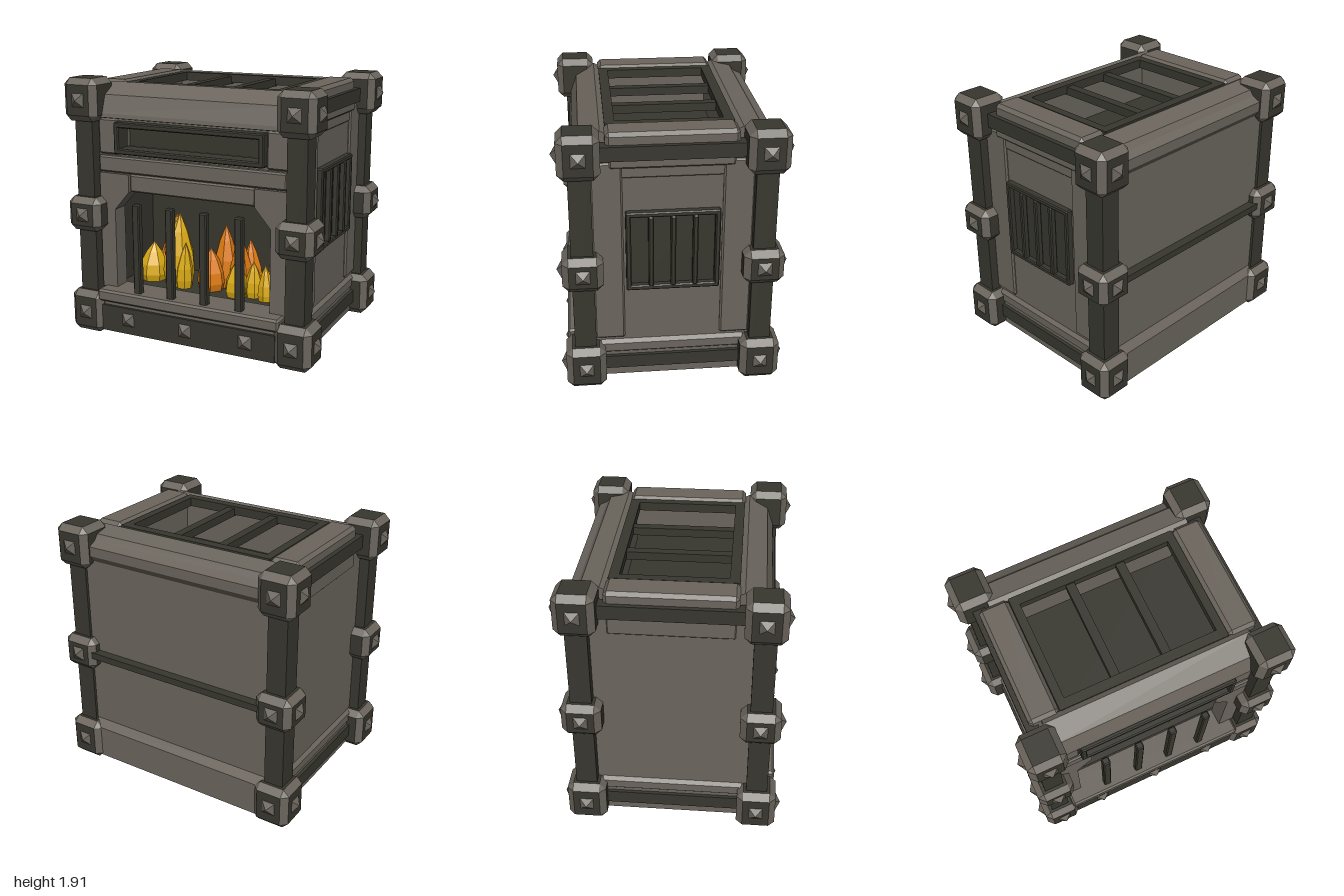
import * as THREE from 'three';
import { ConvexGeometry } from 'three/addons/geometries/ConvexGeometry.js';

const mat = (name, color) => Object.assign(new THREE.MeshStandardMaterial({ color, flatShading: true }), { name });

export function createModel() {
  const root = new THREE.Group();
  root.name = 'furnace';
  const stone = mat('stone', 0x6b655d);
  const iron = mat('darkIron', 0x38372f);
  const orange = mat('orangeFlame', 0xe07d12);
  const yellow = mat('yellowFlame', 0xdcac14);

  const add = (name, geo, material) => {
    const m = new THREE.Mesh(geo, material);
    m.name = name;
    root.add(m);
    return m;
  };
  // Plain box given by its limits
  const box = (name, material, x0, x1, y0, y1, z0, z1) => {
    const m = add(name, new THREE.BoxGeometry(x1 - x0, y1 - y0, z1 - z0), material);
    m.position.set((x0 + x1) / 2, (y0 + y1) / 2, (z0 + z1) / 2);
    return m;
  };
  // Box with cut edges and corners, centred on the origin
  const chamferGeo = (w, h, d, c) => {
    const pts = [];
    for (const sx of [-1, 1]) for (const sy of [-1, 1]) for (const sz of [-1, 1]) {
      const [x, y, z] = [w / 2, h / 2, d / 2];
      pts.push(new THREE.Vector3(sx * x, sy * (y - c), sz * (z - c)),
        new THREE.Vector3(sx * (x - c), sy * y, sz * (z - c)),
        new THREE.Vector3(sx * (x - c), sy * (y - c), sz * z));
    }
    return new ConvexGeometry(pts);
  };
  const slab = (name, material, x0, x1, y0, y1, z0, z1, c = 0.012) => {
    const m = add(name, chamferGeo(x1 - x0, y1 - y0, z1 - z0, c), material);
    m.position.set((x0 + x1) / 2, (y0 + y1) / 2, (z0 + z1) / 2);
    return m;
  };
  const poly = (pts) => new THREE.Shape(pts.map(([x, y]) => new THREE.Vector2(x, y)));
  // Beam along x from a (z, y) cross-section
  const beamX = (name, material, pts, length) => {
    const g = new THREE.ExtrudeGeometry(poly(pts), { depth: length, bevelEnabled: false });
    g.translate(0, 0, -length / 2).rotateY(-Math.PI / 2);
    return add(name, g, material);
  };
  // Low four-sided stud; axis is the outward direction
  const stud = (x, y, z, axis, size = 0.1, tall = 0.038) => {
    const g = new THREE.ConeGeometry(size / Math.SQRT2, tall, 4).rotateY(Math.PI / 4).translate(0, tall / 2, 0);
    const m = add('stud', g, stone);
    m.position.set(x, y, z);
    m.quaternion.setFromUnitVectors(new THREE.Vector3(0, 1, 0), axis);
  };

  // Corner posts and two-tone corner blocks
  for (const sx of [-1, 1]) for (const sz of [-1, 1]) {
    const cx = sx * 0.828, cz = sz * 0.615;
    box('cornerPost', iron, cx - 0.072, cx + 0.072, 0.1, 1.8, cz - 0.075, cz + 0.075);
    for (const [y0, y1, c] of [[0, 0.32, 0.045], [0.785, 1.04, 0.045], [1.6, 1.91, 0.045]]) {
      const g = chamferGeo(0.275, y1 - y0, 0.28, c);
      const n = g.attributes.normal;
      for (let i = 0; i < n.count; i += 3) {
        const flat = Math.max(Math.abs(n.getX(i)), Math.abs(n.getY(i)), Math.abs(n.getZ(i))) > 0.95;
        g.addGroup(i, 3, flat ? 0 : 1);
      }
      const y = (y0 + y1) / 2;
      add('cornerBlock', g, [iron, stone]).position.set(cx, y, cz);
      stud(cx + sx * 0.136, y, cz, new THREE.Vector3(sx, 0, 0));
      stud(cx, y, cz + sz * 0.139, new THREE.Vector3(0, 0, sz));
    }
  }

  // Base, floor and back
  box('floor', stone, -0.8, 0.8, 0.02, 0.3, -0.66, 0.69);
  beamX('backBaseBeam', stone, [[-0.6, 0.03], [-0.6, 0.35], [-0.66, 0.35], [-0.715, 0.28], [-0.715, 0.03]], 1.5);
  box('backWall', stone, -0.8, 0.8, 0.3, 1.75, -0.67, -0.6);
  box('backRail', iron, -0.72, 0.72, 0.89, 0.94, -0.735, -0.66);

  // Front plate with hearth opening and vent slot
  const opening = [[-0.62, 0.34], [0.62, 0.34], [0.62, 0.95], [0.5, 1.09], [-0.5, 1.09], [-0.62, 0.95]];
  const plate = poly([[-0.78, 0.28], [0.78, 0.28], [0.78, 1.7], [-0.78, 1.7]]);
  plate.holes.push(poly(opening), poly([[-0.55, 1.41], [0.55, 1.41], [0.55, 1.57], [-0.55, 1.57]]));
  const frontGeo = new THREE.ExtrudeGeometry(plate, { depth: 0.1, bevelEnabled: false });
  add('frontWall', frontGeo, stone).position.z = 0.5;
  for (const s of [-1, 1]) {
    const pts = [[0.745, 0.34], [0.745, 1.22], [0.5, 1.22], [0.5, 1.09], [0.62, 0.95], [0.62, 0.34]];
    const g = new THREE.ExtrudeGeometry(poly(pts.map(([x, y]) => [s * x, y])), { depth: 0.05, bevelEnabled: false });
    add('hearthJamb', g, stone).position.z = 0.58;
    slab('ventSidePanel', stone, s * 0.665 - 0.08, s * 0.665 + 0.08, 1.36, 1.62, 0.58, 0.63);
  }
  slab('hearthLintel', stone, -0.5, 0.5, 1.09, 1.22, 0.56, 0.615);
  slab('frontBand', stone, -0.74, 0.74, 1.23, 1.35, 0.56, 0.645);

  // Vent frame with dark recess
  box('ventRecess', iron, -0.57, 0.57, 1.39, 1.6, 0.49, 0.515);
  for (const s of [-1, 1]) {
    slab('ventFrameSide', iron, s * 0.565 - 0.02, s * 0.565 + 0.02, 1.38, 1.6, 0.54, 0.68, 0.008);
    slab('ventFrameRail', iron, -0.585, 0.585, 1.49 + s * 0.095 - 0.02, 1.49 + s * 0.095 + 0.02, 0.54, 0.68, 0.008);
  }

  // Front base: ledge, dark skirt and studs
  slab('hearthLedge', stone, -0.73, 0.73, 0.26, 0.35, 0.48, 0.74, 0.015);
  box('frontBase', stone, -0.72, 0.72, 0.03, 0.27, 0.6, 0.705);
  box('frontSkirt', iron, -0.7, 0.7, 0.03, 0.23, 0.66, 0.725);
  for (const x of [-0.475, 0, 0.475]) stud(x, 0.14, 0.724, new THREE.Vector3(0, 0, 1));

  // Hearth interior
  box('hearthBack', iron, -0.78, 0.78, 0.3, 1.5, -0.06, -0.02);
  box('hearthFloor', iron, -0.78, 0.78, 0.29, 0.33, -0.04, 0.5);
  box('hearthCeiling', iron, -0.78, 0.78, 1.15, 1.2, -0.04, 0.5);
  for (const s of [-1, 1]) box('hearthSide', iron, s * 0.72 - 0.03, s * 0.72 + 0.03, 0.3, 1.2, -0.04, 0.5);
  for (const x of [-0.41, -0.137, 0.133, 0.407]) slab('hearthBar', iron, x - 0.029, x + 0.029, 0.33, 1.02, 0.64, 0.695, 0.008);

  // Flames: faceted pointed tongues [x, z, half width, tip height, lean, material]
  const tongues = [
    [-0.51, 0.28, 0.12, 0.63, 0.01, yellow], [-0.27, 0.3, 0.125, 0.89, 0.01, yellow],
    [-0.2, 0.36, 0.07, 0.68, 0.02, yellow], [0.24, 0.36, 0.09, 0.6, 0.0, yellow],
    [0.47, 0.36, 0.06, 0.6, 0.0, yellow], [-0.36, 0.17, 0.1, 0.85, 0.0, orange],
    [-0.45, 0.15, 0.08, 0.65, 0.0, orange], [0.0, 0.3, 0.11, 0.65, 0.0, orange],
    [0.06, 0.18, 0.1, 0.81, 0.01, orange], [0.21, 0.22, 0.09, 0.75, -0.01, orange],
    [0.27, 0.14, 0.08, 0.71, -0.02, orange], [0.36, 0.32, 0.07, 0.6, 0.0, yellow],
    [0.53, 0.2, 0.105, 0.81, -0.01, orange],
  ];
  tongues.forEach(([x, z, r, top, lean, material], i) => {
    const h = top - 0.32;
    const profile = [[0.85, 0], [1, 0.2], [0.9, 0.45], [0.5, 0.75], [0, 1]].map(([a, b]) => new THREE.Vector2(a * r, b * h));
    const g = new THREE.LatheGeometry(profile, 7).rotateY(i * 0.7);
    const p = g.attributes.position;
    for (let k = 0; k < p.count; k++) p.setX(k, p.getX(k) + lean * (p.getY(k) / h) ** 2);
    add('flame', g, material).position.set(x, 0.32, z);
  });

  // Top beams front and back
  beamX('frontTopBeam', stone, [[0.43, 1.58], [0.66, 1.63], [0.655, 1.66], [0.61, 1.79], [0.47, 1.87], [0.43, 1.85]], 1.5);
  beamX('backTopBeam', stone, [[-0.43, 1.58], [-0.43, 1.85], [-0.47, 1.87], [-0.61, 1.84], [-0.64, 1.8], [-0.7, 1.77], [-0.7, 1.7], [-0.66, 1.64]], 1.5);

  // Open top grate above a shallow chamber
  box('chamberFloor', iron, -0.78, 0.78, 1.48, 1.53, -0.6, 0.5);
  for (const s of [-1, 1]) {
    slab('topSideSlab', stone, s * 0.725 - 0.107, s * 0.725 + 0.107, 1.55, 1.88, -0.44, 0.44, 0.025);
    box('grateEnd', iron, s * 0.585 - 0.03, s * 0.585 + 0.03, 1.8, 1.865, -0.43, 0.43);
    box('grateEdge', iron, -0.61, 0.61, 1.8, 1.865, s * 0.4 - 0.035, s * 0.4 + 0.035);
    box('chamberWall', stone, -0.62, 0.62, 1.5, 1.82, s * 0.42 - 0.02, s * 0.42 + 0.02);
    box('grateBar', iron, s * 0.187 - 0.032, s * 0.187 + 0.032, 1.79, 1.85, -0.42, 0.42);
  }

  // Side walls, rails and base mouldings
  for (const s of [-1, 1]) {
    box('sideWall', stone, s * 0.8 - 0.025, s * 0.8 + 0.025, 0.1, 1.78, -0.62, 0.62);
    box('sideTopRail', iron, s * 0.82 - 0.045, s * 0.82 + 0.045, 1.7, 1.8, -0.5, 0.5);
    box('sideBase', stone, s * 0.81 - 0.03, s * 0.81 + 0.03, 0.03, 0.26, -0.54, 0.54);
    const moulding = slab('sideBaseMoulding', stone, s * 0.81 - 0.04, s * 0.81 + 0.04, 0.2, 0.33, -0.54, 0.54, 0.035);
    moulding.name = 'sideBaseMoulding';
    box('sideBaseRail', iron, s * 0.82 - 0.045, s * 0.82 + 0.045, 0.1, 0.2, -0.5, 0.5);
    slab('sidePanelStrip', stone, 0.8, 0.842, 0.34, 1.68, s * 0.44 - 0.105, s * 0.44 + 0.105);
  }
  slab('sidePanelCap', stone, 0.8, 0.85, 1.64, 1.71, -0.41, 0.42);

  // Barred window on the left side
  box('windowRecess', iron, 0.8, 0.83, 0.76, 1.31, -0.3, 0.3);
  for (const s of [-1, 1]) {
    slab('windowFrameSide', iron, 0.81, 0.872, 0.74, 1.33, s * 0.302 - 0.018, s * 0.302 + 0.018, 0.008);
    slab('windowFrameRail', iron, 0.81, 0.872, 1.035 + s * 0.277 - 0.018, 1.035 + s * 0.277 + 0.018, -0.318, 0.318, 0.008);
  }
  for (const z of [-0.15, 0, 0.15]) slab('windowBar', iron, 0.835, 0.882, 0.77, 1.3, z - 0.018, z + 0.018, 0.008);

  return root;
}
